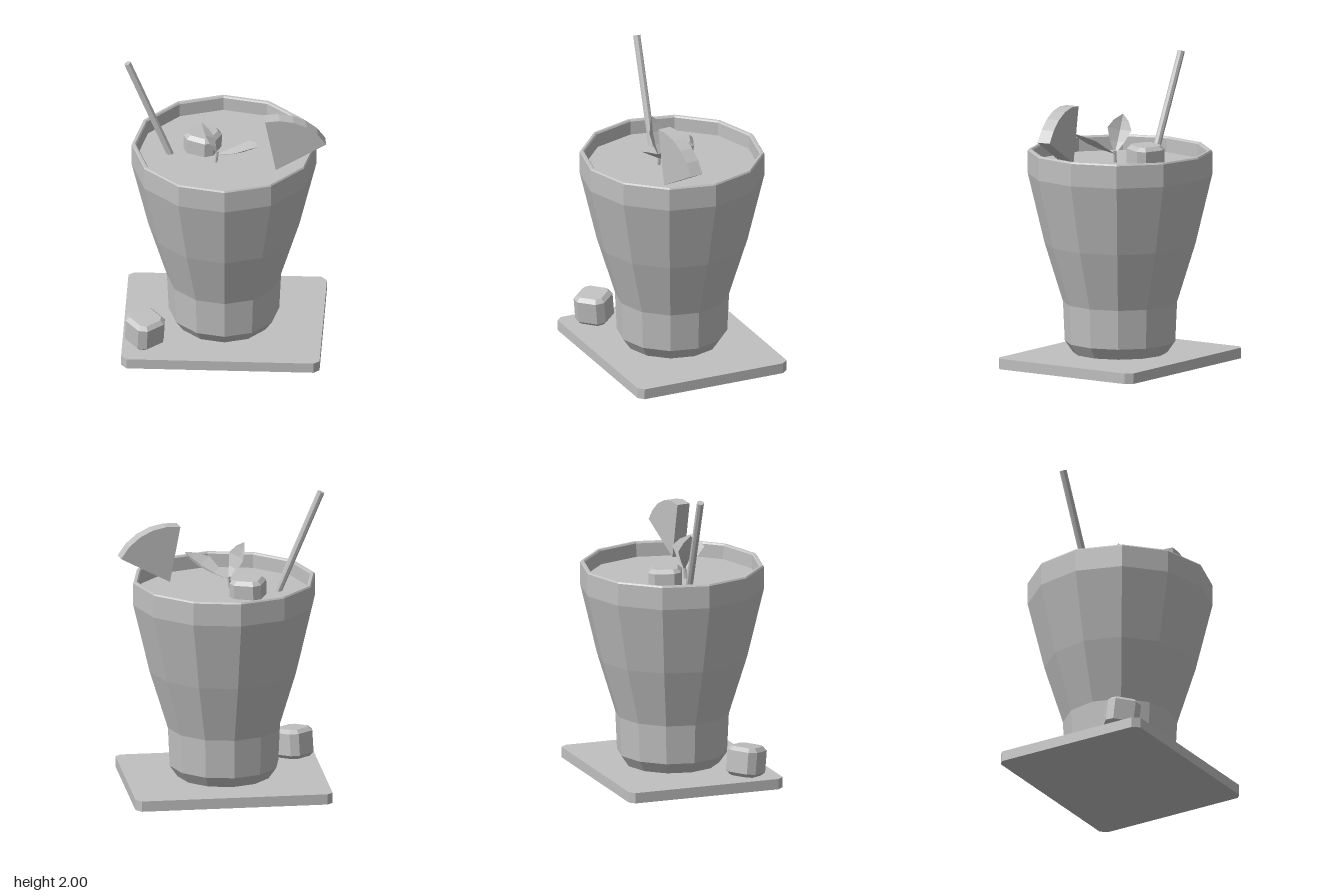
import * as THREE from 'three';

const grey = new THREE.MeshStandardMaterial({ color: 0xc0c0c0, flatShading: true });
grey.name = 'plain grey';
const greyLeaf = grey.clone();
greyLeaf.name = 'plain grey two-sided';
greyLeaf.side = THREE.DoubleSide;

const SIDES = 12;
const LIQUID_Y = 1.32;

function part(name, geometry, material = grey) {
  const mesh = new THREE.Mesh(geometry, material);
  mesh.name = name;
  return mesh;
}

function twelveSided(profile) {
  const points = profile.map(([r, y]) => new THREE.Vector2(r, y));
  return new THREE.LatheGeometry(points, SIDES, Math.PI / 12);
}

// Rectangle with cut corners
function cutSquare(w, h, cut) {
  const a = w / 2, b = h / 2;
  return new THREE.Shape([
    [a - cut, -b], [a, -b + cut], [a, b - cut], [a - cut, b],
    [-a + cut, b], [-a, b - cut], [-a, -b + cut], [-a + cut, -b],
  ].map(([x, y]) => new THREE.Vector2(x, y)));
}

// Ice cube with every edge bevelled
function iceCube(name, size, height) {
  const bevel = 0.025;
  const geometry = new THREE.ExtrudeGeometry(cutSquare(size - 2 * bevel, size - 2 * bevel, 0.028), {
    depth: height - 2 * bevel, bevelEnabled: true, bevelSegments: 1,
    bevelSize: bevel, bevelThickness: bevel,
  });
  geometry.center();
  geometry.rotateX(-Math.PI / 2);
  return part(name, geometry);
}

// Leaf folded along its midrib: rows of left edge, rib, right edge
function leaf(name, base, tip, side, fold) {
  const from = new THREE.Vector3(...base);
  const along = new THREE.Vector3(...tip).sub(from);
  const across = new THREE.Vector3(...side);
  const up = along.clone().cross(across).normalize();
  const rows = [[0, 0.06], [0.3, 0.6], [0.6, 1], [0.82, 0.62], [1, 0]];
  const positions = [], index = [];
  rows.forEach(([t, w], i) => {
    for (const s of [-1, 0, 1]) {
      const p = from.clone().addScaledVector(along, t)
        .addScaledVector(across, s * w)
        .addScaledVector(up, fold * (Math.abs(s) * w - 0.5 * Math.sin(Math.PI * t)));
      positions.push(p.x, p.y, p.z);
    }
    if (i === 0) return;
    for (let k = 0; k < 2; k++) {
      const a = (i - 1) * 3 + k, b = a + 3;
      index.push(a, a + 1, b, a + 1, b + 1, b);
    }
  });
  const geometry = new THREE.BufferGeometry();
  geometry.setAttribute('position', new THREE.Float32BufferAttribute(positions, 3));
  geometry.setIndex(index);
  geometry.computeVertexNormals();
  return part(name, geometry, greyLeaf);
}

// Cylinder between two points
function rod(name, a, b, radius, sides) {
  const from = new THREE.Vector3(...a), to = new THREE.Vector3(...b);
  const dir = to.clone().sub(from);
  const mesh = part(name, new THREE.CylinderGeometry(radius, radius, dir.length(), sides));
  mesh.position.copy(from).add(to).multiplyScalar(0.5);
  mesh.quaternion.setFromUnitVectors(new THREE.Vector3(0, 1, 0), dir.normalize());
  return mesh;
}

export function createModel() {
  const model = new THREE.Group();
  model.name = 'icedDrink';

  // Coaster, turned slightly under the glass
  const corners = [[-0.74, -0.36], [-0.71, -0.4], [0.49, -0.655], [0.535, -0.62]];
  const outline = [...corners, ...corners.map(([x, z]) => [-x, -z])]
    .map(([x, z]) => new THREE.Vector2(x, -z));
  const coaster = part('coaster', new THREE.ExtrudeGeometry(new THREE.Shape(outline),
    { depth: 0.07, bevelEnabled: false }));
  coaster.rotation.x = -Math.PI / 2;
  model.add(coaster);

  // Glass: outer wall, rim, inner wall and floor
  model.add(part('glass', twelveSided([
    [0, 0.075], [0.31, 0.075], [0.362, 0.15], [0.374, 0.41], [0.495, 0.8],
    [0.605, 1.26], [0.605, 1.41], [0.598, 1.42], [0.582, 1.42], [0.574, 1.41],
    [0.57, 1.26], [0.46, 0.8], [0.34, 0.41], [0.33, 0.17], [0, 0.17],
  ])));

  // Drink filling the glass
  model.add(part('drink', twelveSided([
    [0, 0.18], [0.32, 0.18], [0.33, 0.41], [0.45, 0.8], [0.56, 1.26],
    [0.571, LIQUID_Y], [0, LIQUID_Y],
  ])));

  // Straw leaning on the rim side
  model.add(rod('straw', [-0.2, 0.95, 0.033], [-0.63, 1.99, 0.088], 0.024, 8));

  // Floating ice and a cube on the coaster
  const floating = iceCube('floatingIce', 0.215, 0.2);
  floating.position.set(-0.163, 1.34, -0.07);
  floating.rotation.set(-0.03, -0.19, -0.02);
  const fallen = iceCube('coasterIce', 0.22, 0.195);
  fallen.position.set(-0.425, 0.177, 0.425);
  fallen.rotation.set(0.04, -0.65, -0.08);
  model.add(floating, fallen);

  // Fruit wedge standing in the drink
  const wedgeShape = new THREE.Shape();
  const radius = 0.377, start = 0.5, end = 1.76, steps = 5;
  wedgeShape.moveTo(0, 0);
  for (let i = 0; i <= steps; i++) {
    const a = start + (end - start) * i / steps;
    wedgeShape.lineTo(radius * Math.cos(a), radius * Math.sin(a));
  }
  const wedgeGeometry = new THREE.ExtrudeGeometry(wedgeShape, { depth: 0.09, bevelEnabled: false });
  wedgeGeometry.translate(0, 0, -0.045);
  const wedge = part('fruitWedge', wedgeGeometry);
  wedge.position.set(0.374, 1.36, 0.103);
  wedge.rotation.y = 0.33;
  model.add(wedge);

  // Sprig: short stem and two folded leaves
  const sprig = new THREE.Group();
  sprig.name = 'sprig';
  sprig.add(
    rod('stem', [-0.04, 1.25, 0.085], [-0.025, 1.4, 0.078], 0.011, 6),
    leaf('lowLeaf', [-0.02, 1.38, 0.08], [0.272, 1.535, 0.17], [0.035, 0, -0.1], 0.035),
    leaf('uprightLeaf', [-0.028, 1.38, 0.08], [-0.125, 1.63, 0.105], [0.05, 0.01, 0.062], 0.035),
  );
  model.add(sprig);

  return model;
}
